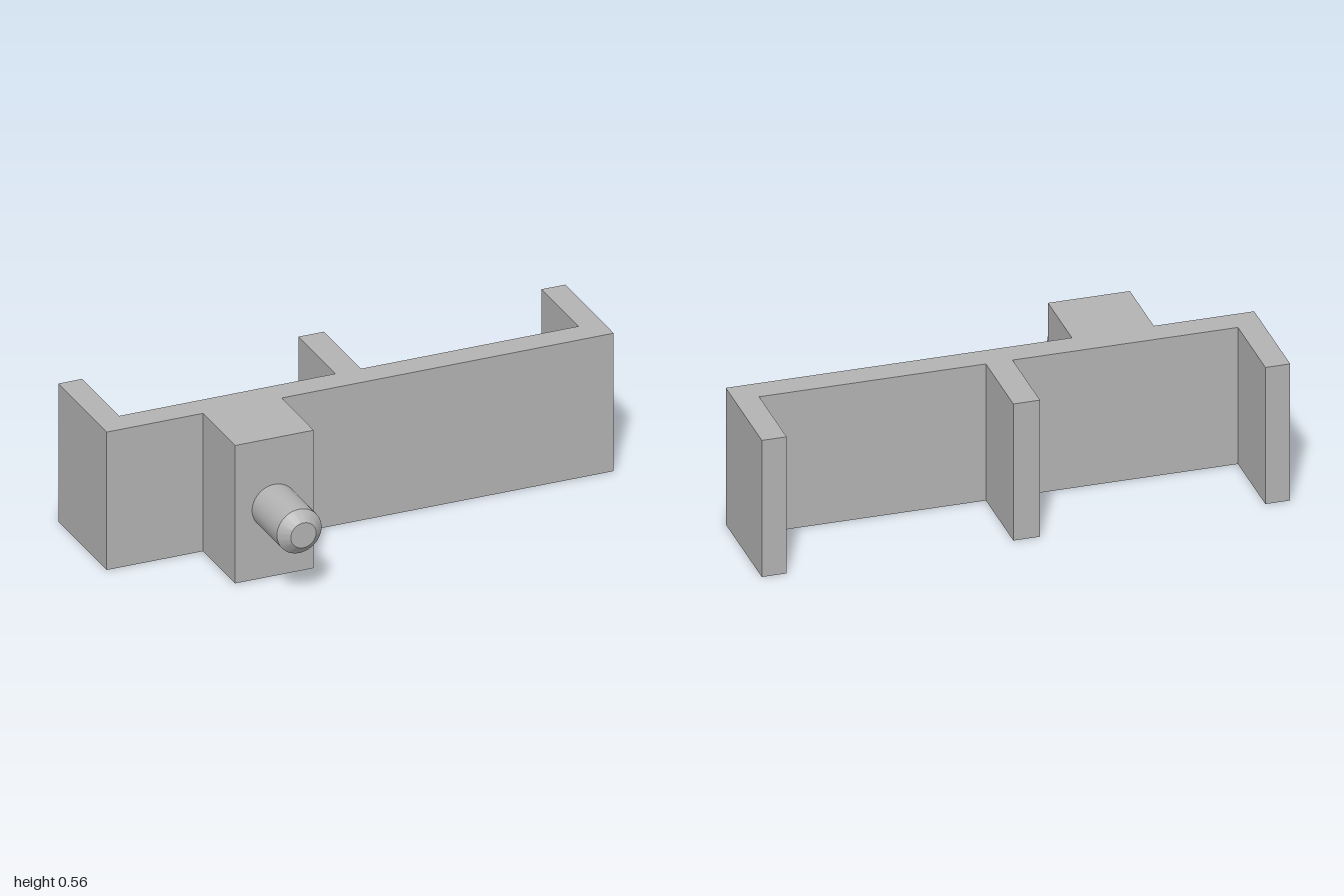
import * as THREE from 'three';
import { toCreasedNormals } from 'three/addons/utils/BufferGeometryUtils.js';

const HEIGHT = 0.555;
const BACK = -0.49, PLATE_BACK = -0.16, PLATE_FRONT = -0.057, BOSS_FRONT = 0.23, TIP = 0.49;
const PEG_X = -0.465;

export function createModel() {
  const group = new THREE.Group();
  const grey = new THREE.MeshStandardMaterial({ color: 0xb3b3b3 });
  grey.name = 'grey';

  // Bracket outline seen from above as [x, z]: plate, three rear walls and the front boss
  const outline = [
    [-1, PLATE_FRONT], [-0.62, PLATE_FRONT], [-0.62, BOSS_FRONT], [-0.31, BOSS_FRONT],
    [-0.31, PLATE_FRONT], [1, PLATE_FRONT], [1, BACK], [0.906, BACK], [0.906, PLATE_BACK],
    [0.048, PLATE_BACK], [0.048, BACK], [-0.053, BACK], [-0.053, PLATE_BACK],
    [-0.906, PLATE_BACK], [-0.906, BACK], [-1, BACK],
  ];
  const shape = new THREE.Shape(outline.map(([x, z]) => new THREE.Vector2(x, -z)));
  const bracketGeometry = new THREE.ExtrudeGeometry(shape, { depth: HEIGHT, bevelEnabled: false });
  bracketGeometry.rotateX(-Math.PI / 2);
  const bracket = new THREE.Mesh(bracketGeometry, grey);
  bracket.name = 'bracket';
  group.add(bracket);

  // Round peg with a chamfered tip, pointing forward from the boss
  const profile = [[0.088, BOSS_FRONT], [0.088, 0.452], [0.05, TIP], [0, TIP]];
  const lathe = new THREE.LatheGeometry(profile.map(([r, z]) => new THREE.Vector2(r, z)), 48);
  const pegGeometry = toCreasedNormals(lathe, Math.PI / 6);
  pegGeometry.rotateX(Math.PI / 2);
  const peg = new THREE.Mesh(pegGeometry, grey);
  peg.name = 'peg';
  peg.position.set(PEG_X, 0.28, 0);
  group.add(peg);

  return group;
}
